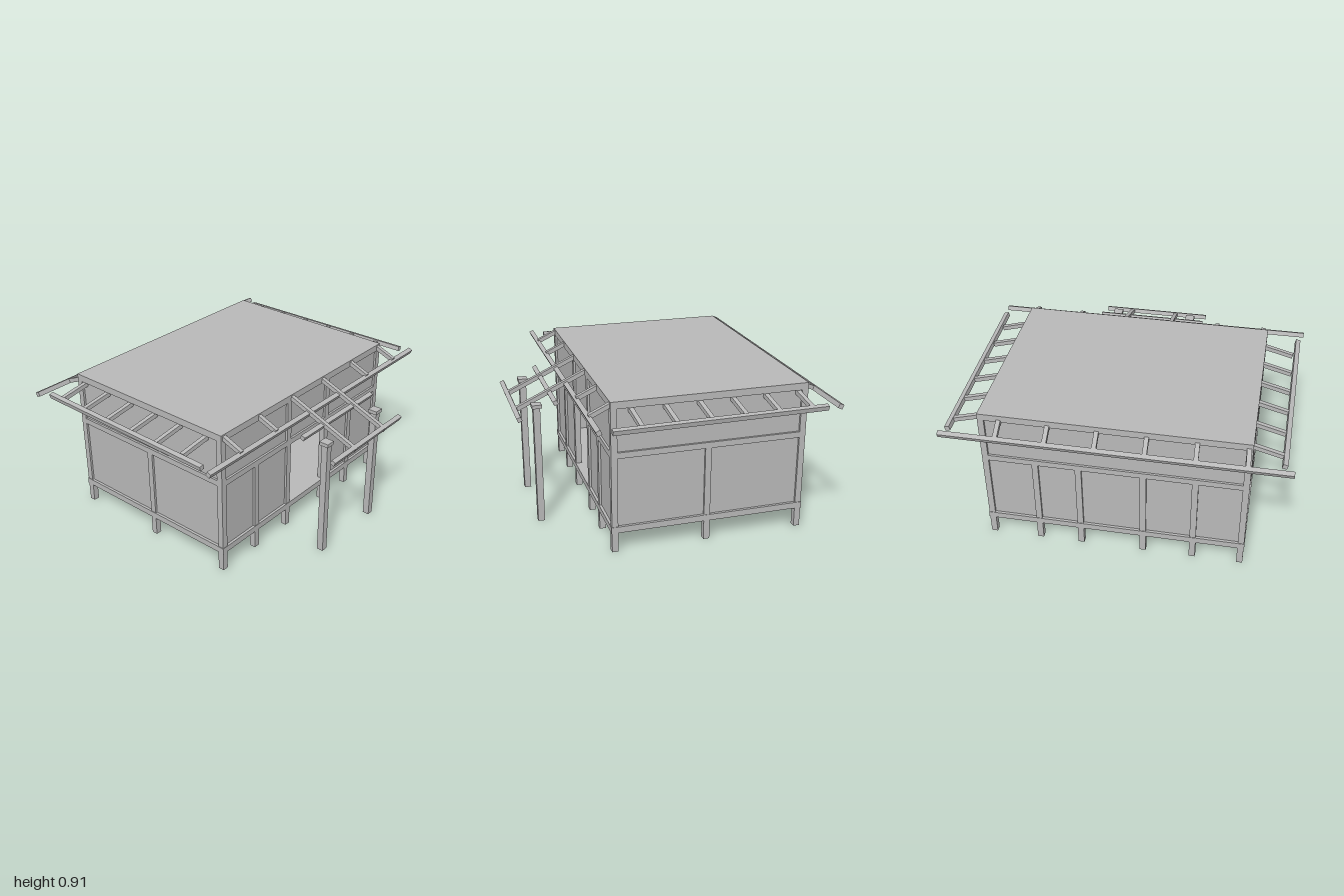
import * as THREE from 'three';

export function createModel() {
  const model = new THREE.Group();
  const grey = new THREE.MeshStandardMaterial({ color: 0xb8b8b8 });
  grey.name = 'plain grey';

  // Box given by its low and high corners
  const block = (name, x0, x1, y0, y1, z0, z1) => {
    const mesh = new THREE.Mesh(new THREE.BoxGeometry(x1 - x0, y1 - y0, z1 - z0), grey);
    mesh.position.set((x0 + x1) / 2, (y0 + y1) / 2, (z0 + z1) / 2);
    mesh.name = name;
    model.add(mesh);
  };

  // Square timber between two centre points, rolled about its length
  const timber = (name, a, b, size, roll = 0) => {
    const from = new THREE.Vector3(...a), to = new THREE.Vector3(...b);
    const mesh = new THREE.Mesh(new THREE.BoxGeometry(size, size, from.distanceTo(to)), grey);
    mesh.position.copy(from).add(to).multiplyScalar(0.5);
    mesh.lookAt(to);
    mesh.rotateZ(roll);
    mesh.name = name;
    model.add(mesh);
  };

  // Main outline of the hut
  const X0 = -0.765, X1 = 0.79, Z0 = -0.75, Z1 = 0.418, T = 0.037;
  const SILL = [0.12, 0.158], RAIL = [0.577, 0.613], ROOF = [0.87, 0.912];
  const postX = [X0 + T / 2, -0.46, -0.16, 0.22, 0.476, X1 - T / 2];
  const postZ = [Z0 + T / 2, -0.153, Z1 - T / 2];
  const h = T / 2;

  // Posts: corners and door posts run full height, the others stop at the rail
  for (const z of [postZ[0], postZ[2]]) {
    postX.forEach((x, i) => {
      const corner = i === 0 || i === 5;
      const doorPost = z > 0 && (i === 2 || i === 3);
      block('post', x - h, x + h, 0, corner || doorPost ? ROOF[0] : RAIL[0], z - h, z + h);
    });
  }
  for (const x of [postX[0], postX[5]]) {
    block('sidePost', x - h, x + h, 0, RAIL[0], postZ[1] - h, postZ[1] + h);
  }

  // Sill beams and middle rails round the walls
  const P = 0.003;
  for (const [name, [y0, y1], p] of [['sill', SILL, P], ['middleRail', RAIL, 0]]) {
    for (const z of [postZ[0], postZ[2]]) block(name, X0 - p, X1 + p, y0, y1, z - h - p, z + h + p);
    for (const x of [postX[0], postX[5]]) block(name, x - h - p, x + h + p, y0, y1, Z0 + T, Z1 - T);
  }

  // Floor and roof slabs
  block('floor', X0 + T, X1 - T, SILL[1] - 0.012, SILL[1], Z0 + T, Z1 - T);
  block('roof', X0, X1, ROOF[0], ROOF[1], Z0, Z1);

  // Recessed wall panels, leaving the doorway open
  const W = 0.005;
  for (const z of [postZ[0], postZ[2]]) {
    for (let i = 0; i < 5; i++) {
      if (z > 0 && i === 2) continue;
      block('wallPanel', postX[i] + h, postX[i + 1] - h, SILL[1], RAIL[0], z - W, z + W);
    }
    block('upperWallPanel', X0 + T, X1 - T, RAIL[1], ROOF[0], z - W, z + W);
  }
  for (const x of [postX[0], postX[5]]) {
    for (let i = 0; i < 2; i++) {
      block('sideWallPanel', x - W, x + W, SILL[1], RAIL[0], postZ[i] + h, postZ[i + 1] - h);
    }
    block('upperSidePanel', x - W, x + W, RAIL[1], ROOF[0], Z0 + T, Z1 - T);
  }

  // Front and back rafters; two of the front ones reach over the porch
  const R = 0.026;
  for (let i = 0; i < 6; i++) {
    const x = -0.74 + i * 0.301;
    const porch = i === 2 || i === 3;
    const end = porch ? 0.86 : 0.535;
    const y = (z) => 0.897 - 0.444 * (z - 0.4);
    timber(porch ? 'porchRafter' : 'frontRafter',
      [x, y(0.4), 0.4], [x + 0.055 * (end - 0.4), y(end), end], R);
    const bx = -0.742 + i * 0.2815;
    timber('backRafter', [bx, 0.875, -0.74], [bx - 0.005, 0.828, -0.85], R);
  }

  // Side rafters
  for (let i = 0; i < 6; i++) {
    const z = 0.302 - i * 0.198;
    timber('leftRafter', [0.775, 0.86, z], [0.955, 0.818, z - 0.013], R);
    timber('rightRafter', [-0.75, 0.86, z], [-0.935, 0.82, z - 0.014], R);
  }

  // Eave beams hung on the rafter ends
  const E = 0.028;
  timber('frontEaveBeam', [-0.995, 0.826, 0.533], [0.99, 0.824, 0.53], E, 0.42);
  timber('backEaveBeam', [-0.995, 0.826, -0.855], [0.99, 0.826, -0.855], E, -0.42);
  timber('leftEaveBeam', [0.957, 0.818, -0.793], [0.981, 0.818, 0.457], E, -0.24);
  timber('rightEaveBeam', [-0.941, 0.822, -0.793], [-0.96, 0.822, 0.457], E, 0.24);

  // Porch purlins
  for (const [y, z] of [[0.781, 0.634], [0.7, 0.847]]) {
    timber('porchPurlin', [-0.323, y, z], [0.366, y, z], 0.027, 0.42);
  }

  // Porch posts with caps
  for (const x of [-0.225, 0.272]) {
    block('porchPost', x - 0.02, x + 0.02, 0, 0.732, 0.713, 0.754);
    block('porchPostCap', x - 0.029, x + 0.029, 0.732, 0.754, 0.703, 0.762);
  }
  return model;
}
